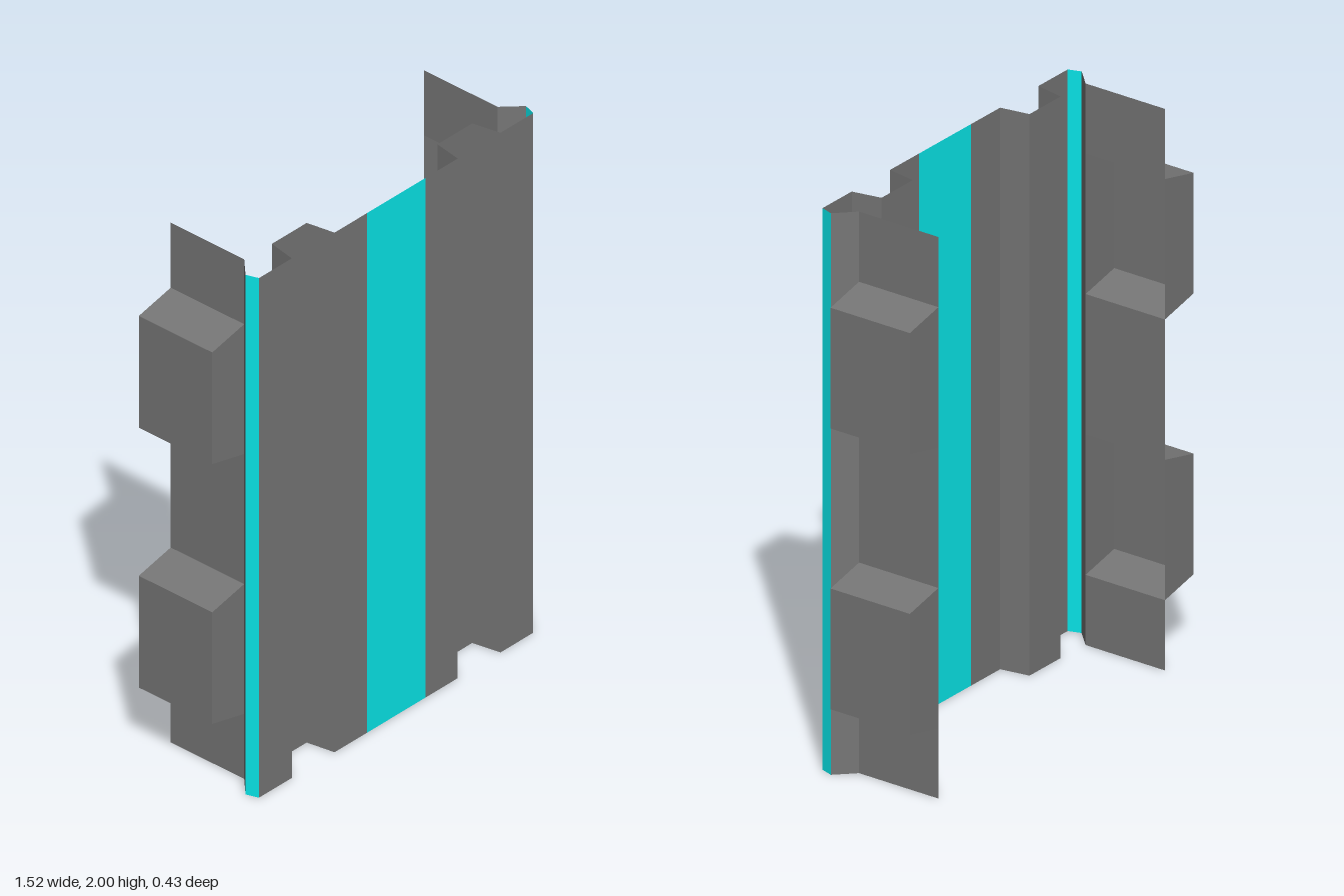
import * as THREE from 'three';

const grey = new THREE.MeshStandardMaterial({ color: 0x767676, flatShading: true, side: THREE.DoubleSide });
const teal = new THREE.MeshStandardMaterial({ color: 0x08e8eb, flatShading: true, side: THREE.DoubleSide });

// Thin folded sheet: an open line of points swept between two ends.
// place(a, b, t) turns a line point and a sweep position into [x, y, z].
function sheet(name, line, from, to, place, material) {
  const positions = [];
  for (let i = 0; i < line.length - 1; i++) {
    const p = line[i], q = line[i + 1];
    const a = place(...p, from), b = place(...q, from);
    const c = place(...q, to), d = place(...p, to);
    positions.push(...a, ...b, ...c, ...a, ...c, ...d);
  }
  const geometry = new THREE.BufferGeometry();
  geometry.setAttribute('position', new THREE.Float32BufferAttribute(positions, 3));
  geometry.computeVertexNormals();
  const mesh = new THREE.Mesh(geometry, material);
  mesh.name = name;
  return mesh;
}

export function createModel() {
  const model = new THREE.Group();
  model.name = 'corrugatedPanel';

  const height = 2, front = 0.215, recess = 0.11, back = -0.215, wallFront = 0.105;
  const wallX = 0.607, bulgeX = 0.76;
  const upright = (side) => (x, z, y) => [side * x, y, z];

  // Central coloured stripe
  model.add(sheet('centreStripe', [[-0.14, front], [0.14, front]], 0, height, upright(1), teal));

  for (const side of [1, -1]) {
    const half = new THREE.Group();
    half.name = side > 0 ? 'leftHalf' : 'rightHalf';

    // Front sheet with one recessed groove
    half.add(sheet('groovedFront', [
      [0.14, front], [0.295, front], [0.313, recess],
      [0.48, recess], [0.5, front], [0.657, front],
    ], 0, height, upright(side), grey));

    // Coloured edge and the fold returning to the side wall
    half.add(sheet('edgeStripe', [[0.657, front], [0.672, 0.17]], 0, height, upright(side), teal));
    half.add(sheet('edgeFold', [[0.672, 0.17], [wallX, wallFront]], 0, height, upright(side), grey));

    // Side wall that steps out into two hollow bulges
    const wallLine = [[wallX, 0]];
    for (const y of [0.25, 1.25]) {
      const bulge = [[wallX, y], [bulgeX, y + 0.035], [bulgeX, y + 0.465], [wallX, y + 0.5]];
      wallLine.push(...bulge);

      // Flat ends closing the bulge at front and back
      const shape = new THREE.Shape(bulge.map(([x, h]) => new THREE.Vector2(side * x, h)));
      for (const z of [wallFront, back]) {
        const end = new THREE.Mesh(new THREE.ShapeGeometry(shape), grey);
        end.position.z = z;
        end.name = 'bulgeEnd';
        half.add(end);
      }
    }
    wallLine.push([wallX, height]);
    half.add(sheet('sideWall', wallLine, wallFront, back, (x, y, z) => [side * x, y, z], grey));

    model.add(half);
  }
  return model;
}
